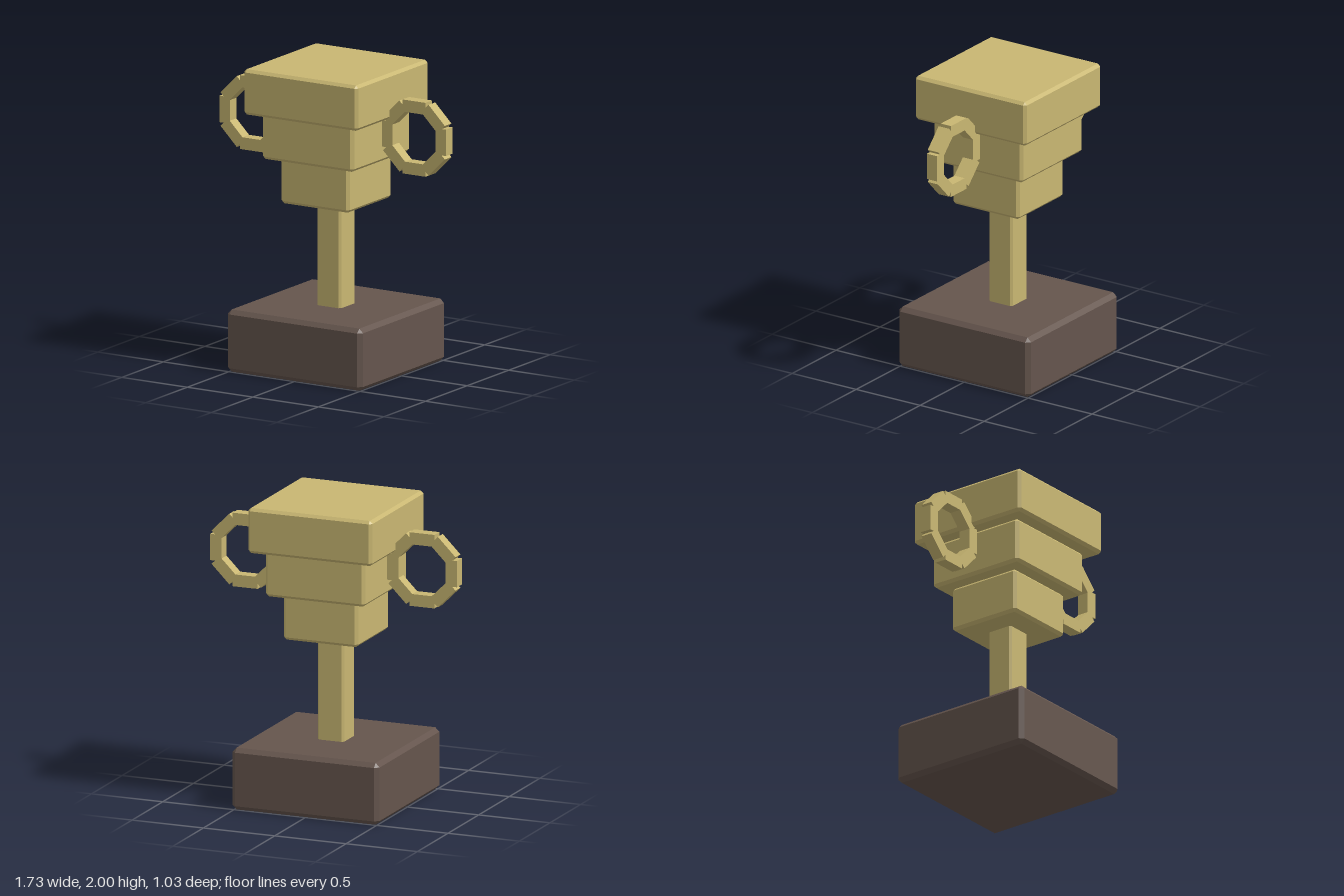
import * as THREE from 'three';
import { ConvexGeometry } from 'three/addons/geometries/ConvexGeometry.js';

const gold = new THREE.MeshStandardMaterial({ color: 0xc9b772, name: 'gold' });
const darkWood = new THREE.MeshStandardMaterial({ color: 0x65554d, name: 'darkWood' });

// Box with every edge cut by a bevel of size c
function bevelBox(w, h, d, c) {
  const points = [];
  const x = w / 2, y = h / 2, z = d / 2;
  for (const i of [-1, 1]) for (const j of [-1, 1]) for (const k of [-1, 1]) {
    points.push(
      new THREE.Vector3(i * x, j * (y - c), k * (z - c)),
      new THREE.Vector3(i * (x - c), j * y, k * (z - c)),
      new THREE.Vector3(i * (x - c), j * (y - c), k * z),
    );
  }
  return new ConvexGeometry(points);
}

// Square block standing between heights y0 and y1
function block(name, width, y0, y1, bevel, material) {
  const mesh = new THREE.Mesh(bevelBox(width, y1 - y0, width, bevel), material);
  mesh.name = name;
  mesh.position.y = (y0 + y1) / 2;
  return mesh;
}

// Ring handle made of eight straight bars
function handle(name, x) {
  const ring = new THREE.Group();
  ring.name = name;
  const bar = new THREE.BoxGeometry(0.08, 0.175, 0.08);
  for (let i = 0; i < 8; i++) {
    const a = i * Math.PI / 4;
    const mesh = new THREE.Mesh(bar, gold);
    mesh.name = 'handleBar';
    mesh.position.set(0.205 * Math.cos(a), 0.205 * Math.sin(a), 0);
    mesh.rotation.z = a;
    ring.add(mesh);
  }
  ring.position.set(x, 1.6, 0);
  return ring;
}

export function createModel() {
  const trophy = new THREE.Group();
  trophy.name = 'trophy';
  trophy.add(
    block('base', 1.03, 0, 0.412, 0.028, darkWood),
    block('stem', 0.184, 0.39, 1.12, 0.014, gold),
    // Cup widens upward in three tiers
    block('lowerCup', 0.522, 1.098, 1.398, 0.019, gold),
    block('middleCup', 0.696, 1.398, 1.699, 0.019, gold),
    block('upperCup', 0.87, 1.699, 2, 0.019, gold),
    handle('leftHandle', 0.62),
    handle('rightHandle', -0.62),
  );
  return trophy;
}
